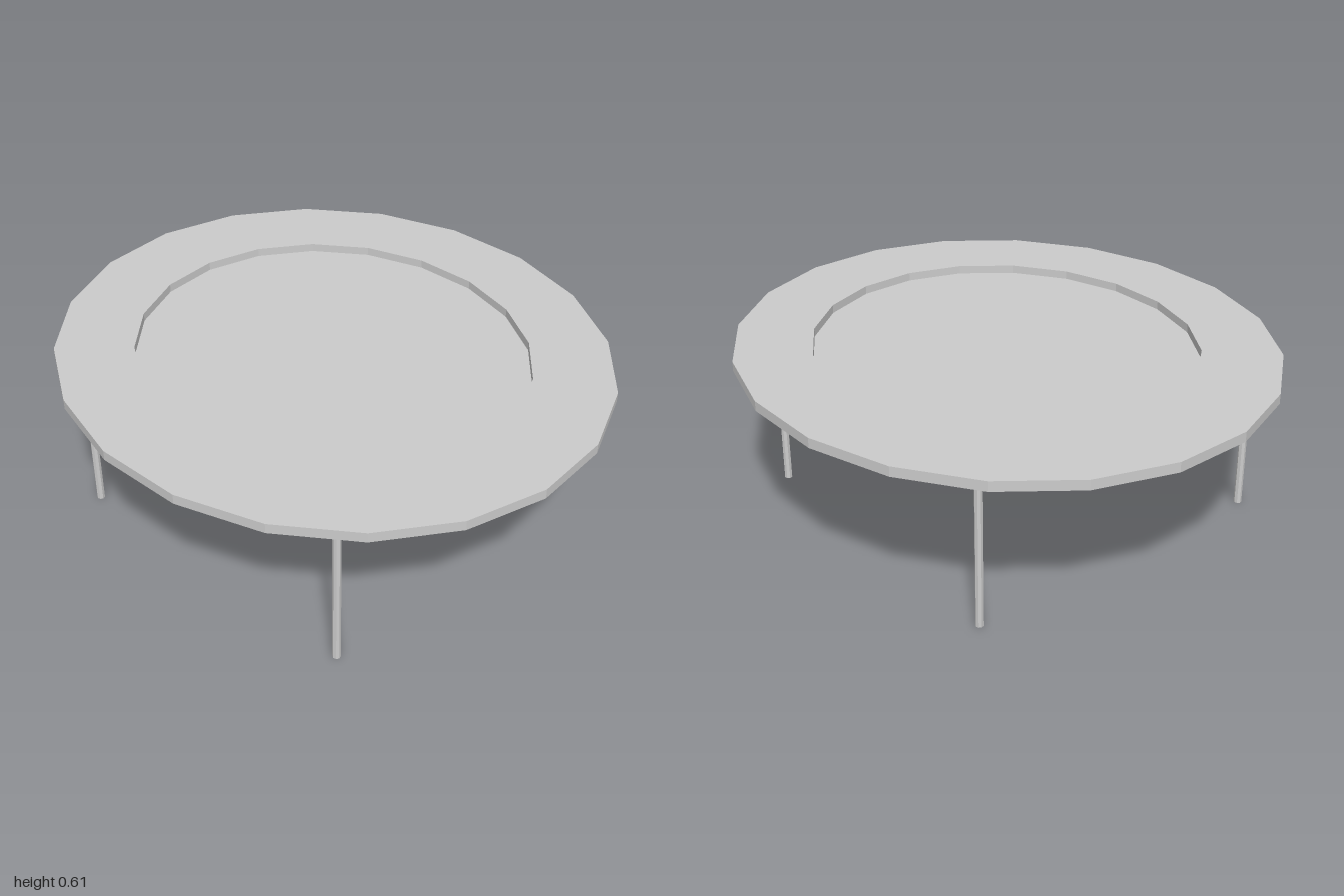
import * as THREE from 'three';

const SIDES = 20;
const TOP = 0.612, BOTTOM = 0.577, MAT_Y = 0.582;

// Corners of a 20-sided oval
function ovalPoints(rx, rz) {
  return Array.from({ length: SIDES }, (_, i) => {
    const a = (i / SIDES) * Math.PI * 2;
    return new THREE.Vector2(Math.cos(a) * rx, Math.sin(a) * rz);
  });
}

export function createModel() {
  const group = new THREE.Group();
  const material = new THREE.MeshStandardMaterial({ color: 0xcccccc, flatShading: true });
  const matMaterial = new THREE.MeshStandardMaterial({ color: 0xcccccc, flatShading: true, side: THREE.DoubleSide });

  const add = (name, geometry, mat = material) => {
    const mesh = new THREE.Mesh(geometry, mat);
    mesh.name = name;
    group.add(mesh);
    return mesh;
  };

  // Flat oval rim with an open centre
  const rimShape = new THREE.Shape(ovalPoints(1, 0.915));
  rimShape.holes.push(new THREE.Path(ovalPoints(0.713, 0.65)));
  const rim = new THREE.ExtrudeGeometry(rimShape, { depth: TOP - BOTTOM, bevelEnabled: false });
  rim.rotateX(-Math.PI / 2).translate(0, BOTTOM, 0);
  add('rim', rim);

  // Thin jumping mat recessed near the bottom of the rim
  const mat = new THREE.ShapeGeometry(new THREE.Shape(ovalPoints(0.713, 0.65)));
  mat.rotateX(-Math.PI / 2).translate(0, MAT_Y, 0);
  add('mat', mat, matMaterial);

  // Four slim posts
  const legs = {
    frontLeftLeg: [0.671, 0.538],
    frontRightLeg: [-0.479, 0.69],
    backLeftLeg: [0.515, -0.627],
    backRightLeg: [-0.657, -0.484],
  };
  const legGeometry = new THREE.CylinderGeometry(0.014, 0.014, BOTTOM, 8);
  for (const [name, [x, z]] of Object.entries(legs)) {
    add(name, legGeometry).position.set(x, BOTTOM / 2, z);
  }

  return group;
}
